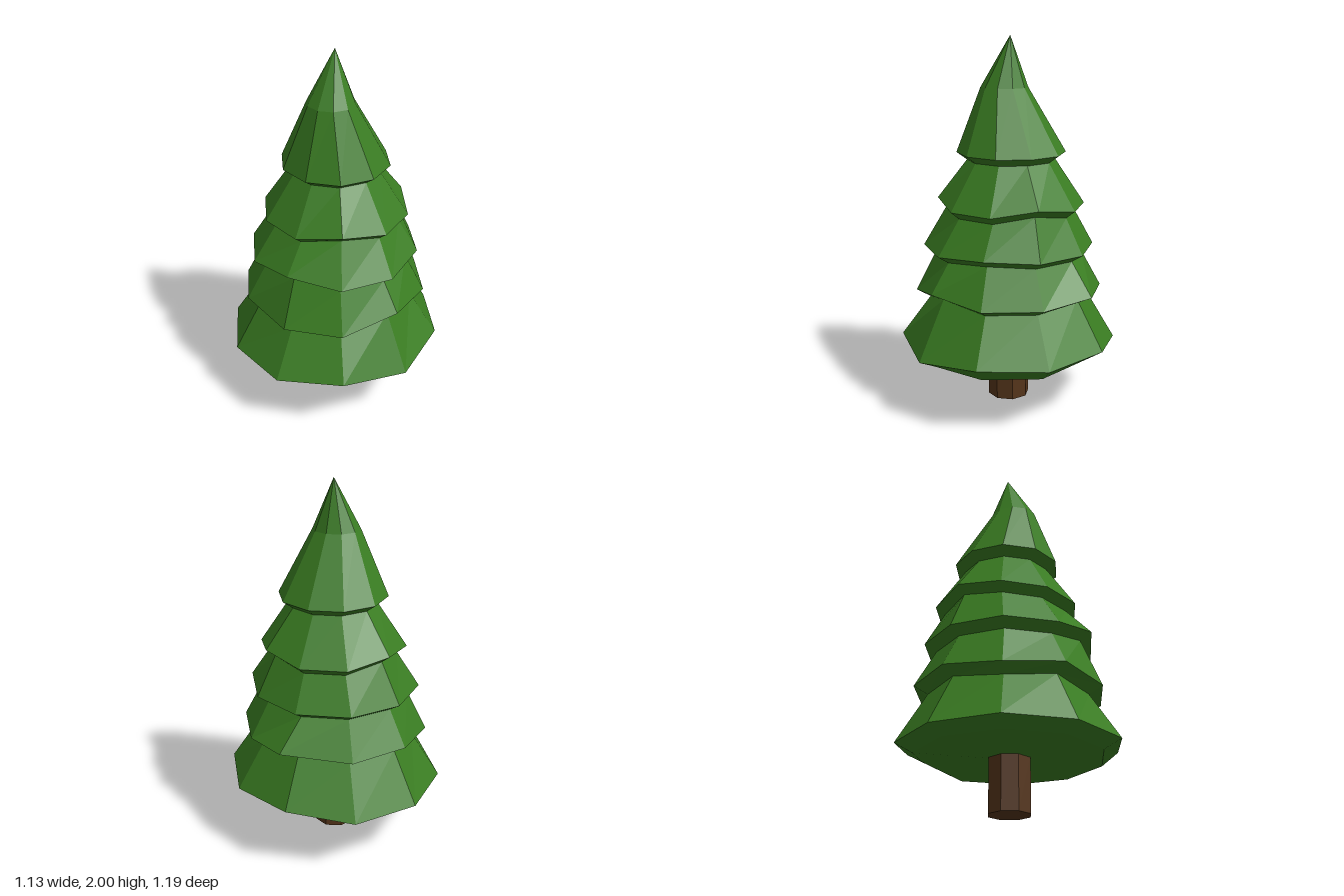
import * as THREE from 'three';

const SIDES = 10;

// One ten-sided ring; lifts holds a height offset for each corner, starting at the front
function ring(radius, y, zc = 0, lifts = []) {
  return Array.from({ length: SIDES }, (_, k) => {
    const a = (k / SIDES) * Math.PI * 2;
    return new THREE.Vector3(Math.sin(a) * radius, y + (lifts[k] || 0), Math.cos(a) * radius + zc);
  });
}

// Skin over stacked rings, closed by a point at the bottom and the top
function skin(rings, bottom, top) {
  const points = [...rings.flat(), bottom, top];
  const lo = points.length - 2, hi = points.length - 1;
  const last = (rings.length - 1) * SIDES;
  const index = [];
  for (let k = 0; k < SIDES; k++) {
    const n = (k + 1) % SIDES;
    index.push(lo, n, k, last + k, last + n, hi);
    for (let r = 0; r < rings.length - 1; r++) {
      const a = r * SIDES + k, b = r * SIDES + n;
      index.push(a, b, b + SIDES, a, b + SIDES, a + SIDES);
    }
  }
  const geo = new THREE.BufferGeometry().setFromPoints(points);
  geo.setIndex(index);
  const flat = geo.toNonIndexed();
  flat.computeVertexNormals();
  return flat;
}

export function createModel() {
  const tree = new THREE.Group();
  tree.name = 'pineTree';

  // Branch tiers: rim radius and height, under-ring radius, z centre, uneven rim heights
  const tiers = [
    { rim: 0.594, y: 0.33, under: 0.5, zc: 0, lifts: [0, 0.035, 0, 0.04, 0.03, 0.045] },
    { rim: 0.51, y: 0.62, under: 0.435, zc: 0, lifts: [0, 0, 0.065, 0.03, 0.03, 0.06, 0.02, 0.03, 0, 0.03] },
    { rim: 0.463, y: 0.88, under: 0.4, zc: 0, lifts: [0.045, 0, 0, 0.02, 0.005] },
    { rim: 0.396, y: 1.11, under: 0.345, zc: -0.017, lifts: [0, 0.035, 0, 0, 0.035, 0, 0, 0.03, 0.005, 0] },
    { rim: 0.293, y: 1.39, under: 0.237, zc: -0.017, lifts: [] },
  ];
  const rings = [];
  tiers.forEach((t, i) => {
    const underLifts = i === 0 ? [0, 0, 0, 0, 0, 0.04] : t.lifts;
    const rim = ring(t.rim, t.y, t.zc, t.lifts);
    if (i === 1) rim[5].set(0.05, 0.68, -0.55); // one branch sticks out at the back
    rings.push(ring(t.under, t.y - (i === 0 ? 0.045 : 0.04), t.zc, underLifts), rim);
  });
  // Slightly bent tip
  rings.push(ring(0.127, 1.73, 0.027));

  const foliage = new THREE.Mesh(
    skin(rings, new THREE.Vector3(0, 0.285, 0), new THREE.Vector3(0, 2, -0.01)),
    new THREE.MeshStandardMaterial({ color: 0x3a7d22, flatShading: true }),
  );
  foliage.name = 'foliage';
  tree.add(foliage);

  // Eight-sided trunk
  const trunk = new THREE.Mesh(
    new THREE.CylinderGeometry(0.115, 0.115, 0.3, 8),
    new THREE.MeshStandardMaterial({ color: 0x55351a, flatShading: true }),
  );
  trunk.position.y = 0.15;
  trunk.name = 'trunk';
  tree.add(trunk);

  return tree;
}
